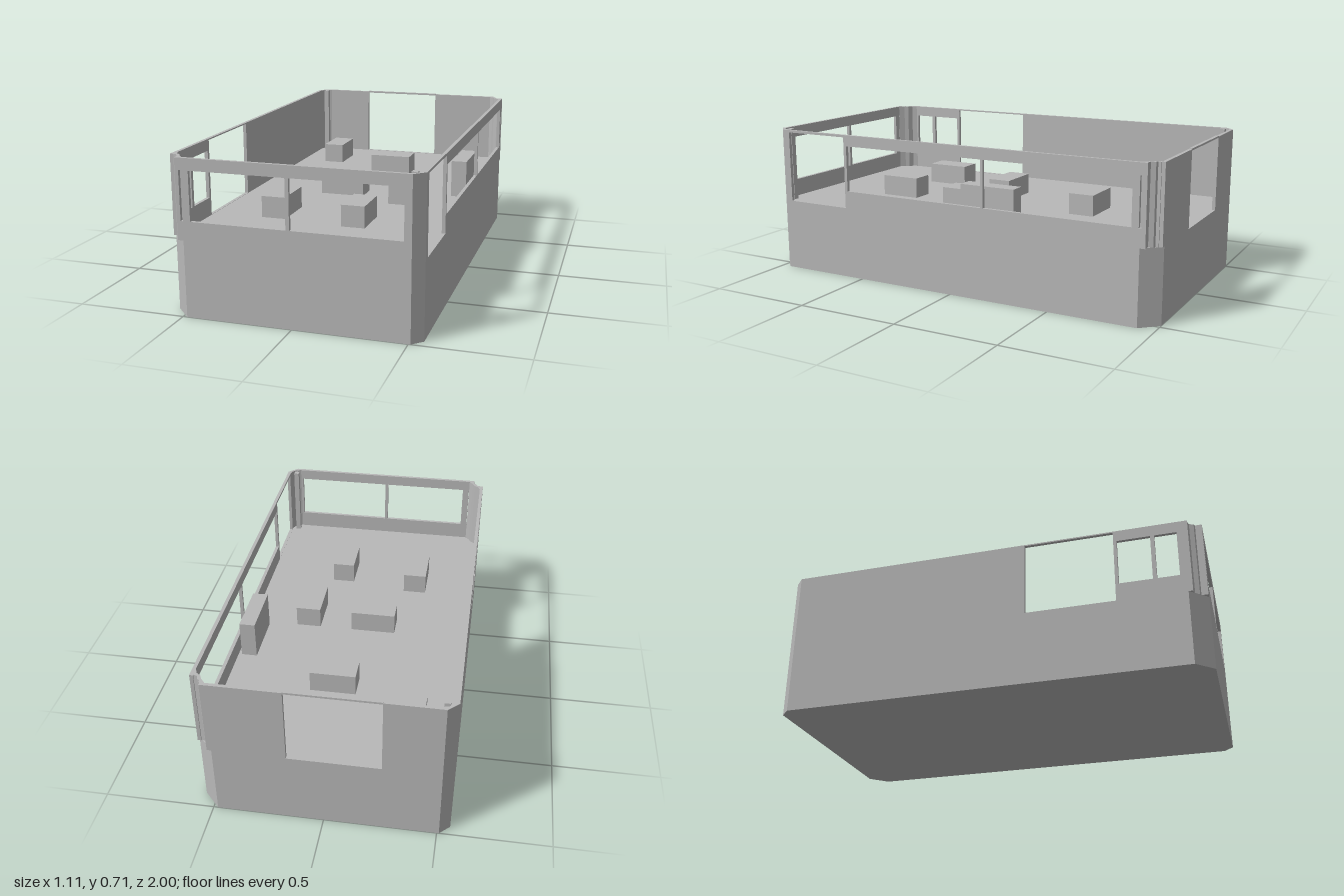
import * as THREE from 'three';

const HX = 0.556, FLOOR = 0.345, TOP = 0.703, T = 0.016;

export function createModel() {
  const model = new THREE.Group();
  model.name = 'openCabin';
  const grey = new THREE.MeshStandardMaterial({ color: 0xb8b8b8 });
  grey.name = 'plain grey';

  const add = (geometry, name) => {
    const mesh = new THREE.Mesh(geometry, grey);
    mesh.name = name;
    model.add(mesh);
    return mesh;
  };
  const outline = (pts) => new THREE.Shape(pts.map(([a, b]) => new THREE.Vector2(a, b)));

  // Prism from a plan outline of [x, z] points
  const prism = (pts, y0, y1, name) => {
    const g = new THREE.ExtrudeGeometry(outline(pts), { depth: y1 - y0, bevelEnabled: false });
    g.rotateX(Math.PI / 2).translate(0, y1, 0);
    return add(g, name);
  };

  // Upright wall panel from u0 to u1, with holes [u0, u1, y0, y1]
  const wall = (u0, u1, holes, name) => {
    const rect = (a, b, c, d) => [[a, c], [b, c], [b, d], [a, d]];
    const shape = outline(rect(u0, u1, FLOOR, TOP));
    for (const h of holes) shape.holes.push(outline(rect(...h)));
    return add(new THREE.ExtrudeGeometry(shape, { depth: T, bevelEnabled: false }), name);
  };
  const win = (a, b) => [a, b, 0.43, 0.65];
  const door = (a, b, top = 0.697) => [a, b, FLOOR + 0.001, top];

  // Solid base with two small and two larger cut corners
  prism([
    [0.51, 1], [HX, 0.955], [HX, -0.92], [0.48, -1],
    [-0.51, -1], [-HX, -0.955], [-HX, 0.92], [-0.48, 1],
  ], 0, FLOOR, 'base');

  // Front wall: narrow slot and two windows
  wall(-0.505, 0.51, [win(-0.489, -0.478), win(-0.445, -0.018), win(-0.002, 0.478)], 'frontWall')
    .position.z = 1 - T;

  // Back wall: one wide doorway under a thin raised lintel
  wall(-0.51, 0.5, [door(-0.255, 0.155)], 'backWall').position.z = -1;
  const lintel = add(new THREE.BoxGeometry(0.41, 0.008, T), 'backLintel');
  lintel.position.set(-0.05, 0.702, -1 + T / 2);

  // Side walls
  const left = wall(-0.945, 0.955, [
    win(-0.925, -0.914), win(-0.882, -0.18), win(-0.168, 0.57), door(0.585, 0.92, 0.692),
  ], 'leftWall');
  left.rotation.y = -Math.PI / 2;
  left.position.x = HX;
  const right = wall(-0.955, 0.94, [
    door(0.19, 0.605), win(0.62, 0.772), win(0.79, 0.89),
  ], 'rightWall');
  right.rotation.y = -Math.PI / 2;
  right.position.x = -HX + T;

  // Corners repeat on the opposite diagonal
  for (const s of [1, -1]) {
    const turn = (pts) => pts.map(([x, z]) => [x * s, z * s]);
    // Cut corner with a rounded inside
    prism(turn([
      [0.51, 1], [HX, 0.955], [0.54, 0.955], [0.54, 0.935],
      [0.532, 0.96], [0.515, 0.977], [0.49, 0.984], [0.51, 0.984],
    ]), FLOOR, TOP, 'cutCorner');
    // Stepped recessed corner between the open wall ends
    prism(turn([
      [-0.54, 0.94], [-0.523, 0.945], [-0.515, 0.965], [-0.505, 0.97], [-0.505, 0.984],
      [-0.48, 0.984], [-0.5, 0.96], [-0.51, 0.94], [-0.53, 0.925], [-0.54, 0.9],
    ]), FLOOR, TOP, 'recessedCorner');
    // Slim square post inside the cut corner
    const post = add(new THREE.BoxGeometry(0.026, TOP - FLOOR, 0.026), 'cornerPost');
    post.position.set(0.507 * s, (TOP + FLOOR) / 2, 0.948 * s);
  }

  // Floor blocks: x0, x1, z0, z1, top
  const blocks = [
    [-0.405, -0.3, -0.81, -0.61, 0.445],
    [-0.07, 0.143, -0.535, -0.412, 0.445],
    [0.45, 0.524, -0.318, -0.048, 0.523],
    [-0.185, 0.032, -0.03, 0.08, 0.445],
    [0.19, 0.31, -0.03, 0.183, 0.445],
    [-0.302, -0.188, 0.36, 0.573, 0.445],
    [0.09, 0.2, 0.412, 0.61, 0.445],
  ];
  for (const [x0, x1, z0, z1, top] of blocks) {
    const block = add(new THREE.BoxGeometry(x1 - x0, top - FLOOR, z1 - z0), 'floorBlock');
    block.position.set((x0 + x1) / 2, (top + FLOOR) / 2, (z0 + z1) / 2);
  }

  return model;
}
